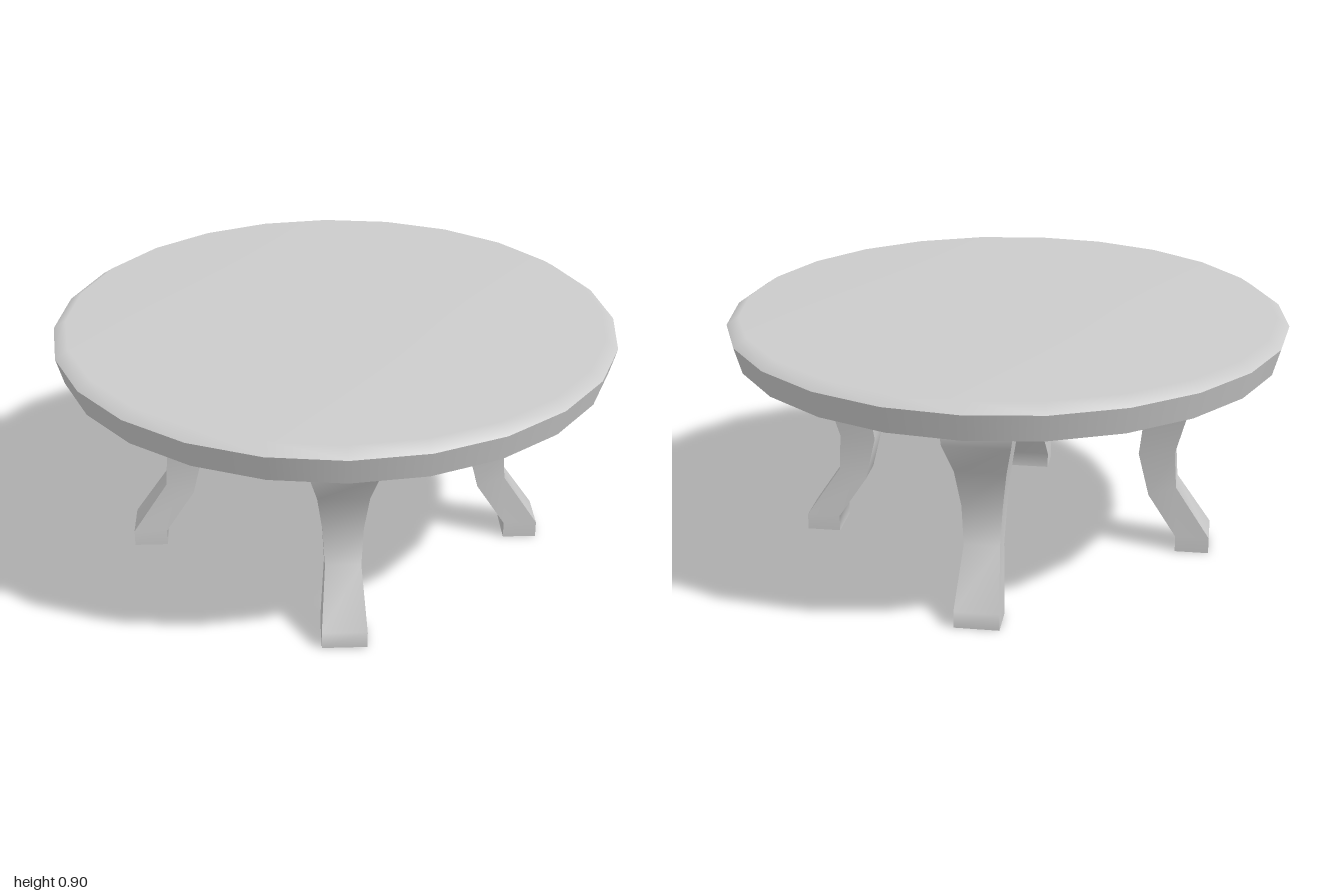
import * as THREE from 'three';

const material = new THREE.MeshStandardMaterial({ color: 0xcccccc, side: THREE.DoubleSide });

// Leg cross-sections: [outer radius, outer y, inner radius, inner y, half width]
const SECTIONS = [
  [0.758, 0, 0.635, 0, 0.078],
  [0.758, 0.06, 0.635, 0.06, 0.078],
  [0.63, 0.25, 0.53, 0.215, 0.062],
  [0.62, 0.388, 0.49, 0.38, 0.07],
  [0.657, 0.53, 0.505, 0.515, 0.088],
  [0.738, 0.652, 0.536, 0.665, 0.114],
  [0.738, 0.732, 0.511, 0.725, 0.125],
  [0.705, 0.775, 0.49, 0.775, 0.132],
];

// Four separate strips keep the long edges sharp and each face smooth; the foot is open
function legGeometry() {
  const rings = SECTIONS.map(([ro, yo, ri, yi, w]) => [
    [-w, yo, ro], [w, yo, ro], [w, yi, ri], [-w, yi, ri],
  ]);
  const positions = [], indices = [];
  for (let side = 0; side < 4; side++) {
    const base = positions.length / 3;
    rings.forEach((ring, i) => {
      positions.push(...ring[side], ...ring[(side + 1) % 4]);
      if (i === 0) return;
      const a = base + (i - 1) * 2;
      indices.push(a, a + 1, a + 3, a, a + 3, a + 2);
    });
  }
  const geometry = new THREE.BufferGeometry();
  geometry.setAttribute('position', new THREE.Float32BufferAttribute(positions, 3));
  geometry.setIndex(indices);
  geometry.computeVertexNormals();
  return geometry;
}

// A 24-sided turned surface from [radius, y] points
function turned(name, points) {
  const profile = points.map(([r, y]) => new THREE.Vector2(r, y));
  const mesh = new THREE.Mesh(new THREE.LatheGeometry(profile, 24), material);
  mesh.name = name;
  return mesh;
}

export function createModel() {
  const model = new THREE.Group();
  model.name = 'roundTable';

  // Tabletop: flat underside, flared rim, bevelled top
  const tabletop = new THREE.Group();
  tabletop.name = 'tabletop';
  tabletop.add(
    turned('underside', [[0, 0.773], [0.974, 0.773]]),
    turned('rim', [[0.974, 0.773], [1, 0.867]]),
    turned('topSurface', [[1, 0.867], [0.955, 0.897], [0, 0.897]]),
  );
  model.add(tabletop);

  // Four curved legs, one on each axis
  const geometry = legGeometry();
  ['frontLeg', 'leftLeg', 'backLeg', 'rightLeg'].forEach((name, i) => {
    const leg = new THREE.Mesh(geometry, material);
    leg.name = name;
    leg.rotation.y = i * Math.PI / 2;
    model.add(leg);
  });
  return model;
}
